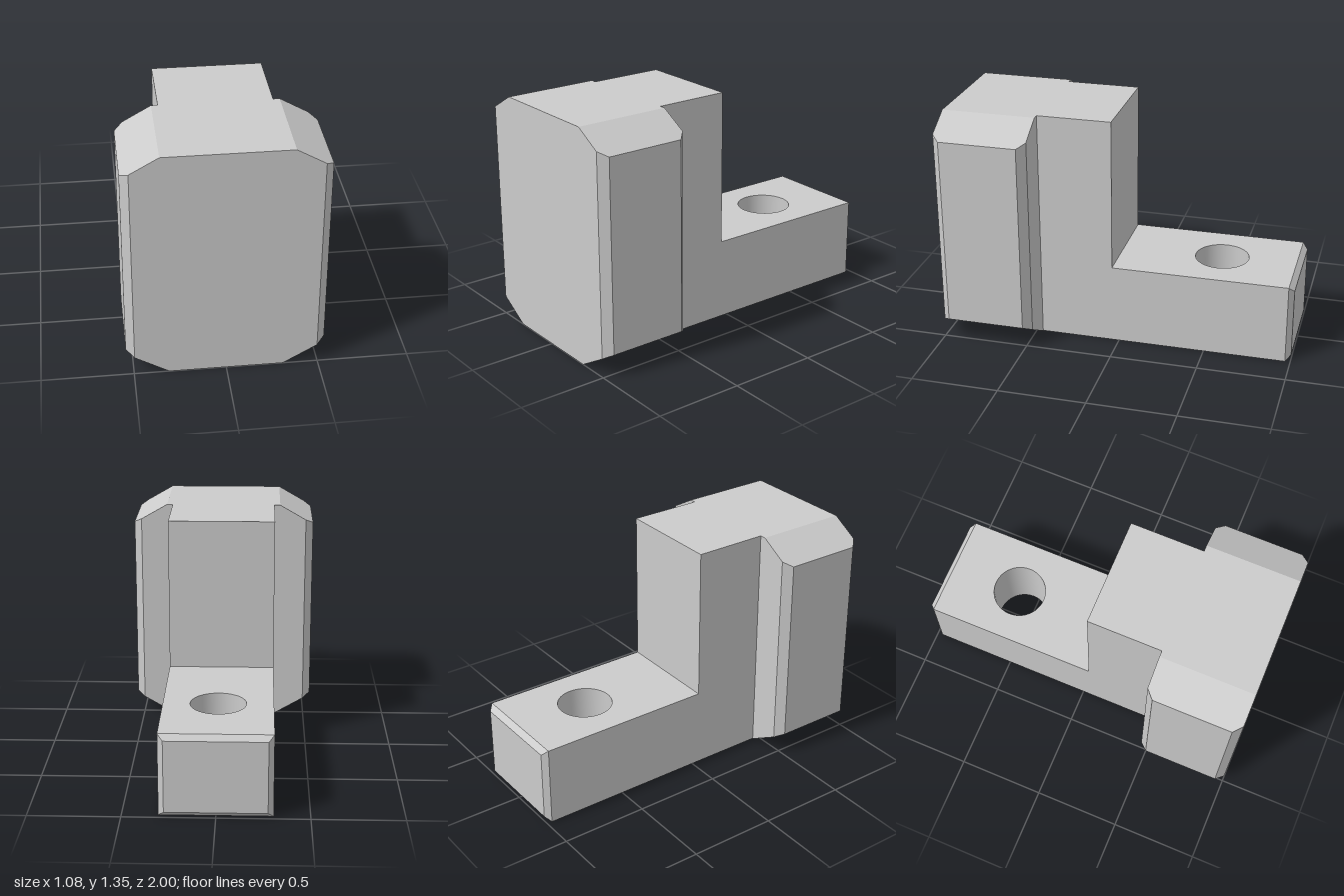
import * as THREE from 'three';
import { toCreasedNormals } from 'three/addons/utils/BufferGeometryUtils.js';

const H = 1.345;          // overall height
const HEAD_BACK = 0.463;  // z of the head's rear face
const STEP_Z = 0.04;      // z of the upright's rear wall
const ARM_W = 0.305;      // half width of upright and foot
const FOOT_H = 0.465;
const TIP_Z = -0.97;      // where the end chamfer starts
const BEVEL = 0.03;

// Skin convex counter-clockwise loops, ordered from front (+z) to back
function loft(sections, capFront, capBack) {
  const pos = [];
  const tri = (...pts) => pts.forEach((p) => pos.push(...p));
  const loops = sections.map(({ z, pts }) => pts.map(([x, y]) => [x, y, z]));
  const n = loops[0].length;
  for (let s = 0; s < loops.length - 1; s++) {
    const a = loops[s], b = loops[s + 1];
    for (let i = 0; i < n; i++) {
      const j = (i + 1) % n;
      tri(a[i], b[i], b[j]);
      tri(a[i], b[j], a[j]);
    }
  }
  const first = loops[0], last = loops[loops.length - 1];
  for (let i = 1; i < n - 1; i++) {
    if (capFront) tri(first[0], first[i], first[i + 1]);
    if (capBack) tri(last[0], last[i + 1], last[i]);
  }
  const g = new THREE.BufferGeometry();
  g.setAttribute('position', new THREE.Float32BufferAttribute(pos, 3));
  g.computeVertexNormals();
  return g;
}

const rect = (w, y0, y1) => [[-w, y0], [w, y0], [w, y1], [-w, y1]];

// Right half of the head outline, cut off at half width w
function halfOutline(w) {
  const low = 0.135 * (w - 0.31) / 0.23;
  const high = H - 0.115 * (w - 0.34) / 0.2;
  return [[0.31, 0], [w, low], [w, high], [0.34, H]];
}

function outline(w) {
  const half = halfOutline(w);
  return [...half, ...half.map(([x, y]) => [-x, y]).reverse()];
}

// Remove the triangles whose corners all pass the test (hidden joints)
function dropFaces(geometry, test) {
  const src = geometry.index ? geometry.toNonIndexed() : geometry;
  const p = src.attributes.position, out = [];
  for (let i = 0; i < p.count; i += 3) {
    const c = [0, 1, 2].map((k) => new THREE.Vector3().fromBufferAttribute(p, i + k));
    if (!c.every(test)) c.forEach((v) => out.push(v.x, v.y, v.z));
  }
  const g = new THREE.BufferGeometry();
  g.setAttribute('position', new THREE.Float32BufferAttribute(out, 3));
  return g;
}

export function createModel() {
  const model = new THREE.Group();
  model.name = 'clampBlock';
  const material = new THREE.MeshStandardMaterial({ color: 0xcccccc });
  const add = (name, geometry) => {
    const mesh = new THREE.Mesh(geometry, material);
    mesh.name = name;
    model.add(mesh);
    return mesh;
  };

  // Wide head with cut corners and bevelled vertical edges
  add('head', loft([
    { z: 1, pts: outline(0.495) },
    { z: 0.955, pts: outline(0.54) },
    { z: 0.508, pts: outline(0.54) },
    { z: HEAD_BACK, pts: outline(0.495) },
  ], true, false));

  // Rear shoulders of the head, either side of the upright
  for (const s of [1, -1]) {
    const pts = [[ARM_W, 0], ...halfOutline(0.495), [ARM_W, H]];
    const shape = new THREE.Shape(pts.map(([x, y]) => new THREE.Vector2(s * x, y)));
    const shoulder = new THREE.ShapeGeometry(shape).rotateY(Math.PI).translate(0, 0, HEAD_BACK);
    add(s > 0 ? 'rightShoulder' : 'leftShoulder', shoulder);
  }

  // Narrow upright behind the head and its rear wall above the foot
  add('upright', loft([
    { z: HEAD_BACK, pts: rect(ARM_W, 0, H) },
    { z: STEP_Z, pts: rect(ARM_W, 0, H) },
  ], false, false));
  add('uprightRearWall', new THREE.PlaneGeometry(2 * ARM_W, H - FOOT_H)
    .rotateY(Math.PI).translate(0, (H + FOOT_H) / 2, STEP_Z));

  // Foot with a vertical bolt hole
  const plan = new THREE.Shape([
    new THREE.Vector2(-ARM_W, -STEP_Z), new THREE.Vector2(ARM_W, -STEP_Z),
    new THREE.Vector2(ARM_W, -TIP_Z), new THREE.Vector2(-ARM_W, -TIP_Z),
  ]);
  plan.holes.push(new THREE.Path().absarc(0, 0.54, 0.155, 0, Math.PI * 2, true));
  const foot = new THREE.ExtrudeGeometry(plan, { depth: FOOT_H, bevelEnabled: false, curveSegments: 24 })
    .rotateX(-Math.PI / 2);
  const near = (a, b) => Math.abs(a - b) < 1e-4;
  const open = dropFaces(dropFaces(foot, (v) => near(v.z, STEP_Z)), (v) => near(v.z, TIP_Z));
  add('foot', toCreasedNormals(open, 0.6));

  // Bevelled end of the foot
  add('footTip', loft([
    { z: TIP_Z, pts: rect(ARM_W, 0, FOOT_H) },
    { z: -1, pts: rect(ARM_W - BEVEL, BEVEL, FOOT_H - BEVEL) },
  ], false, true));

  return model;
}
